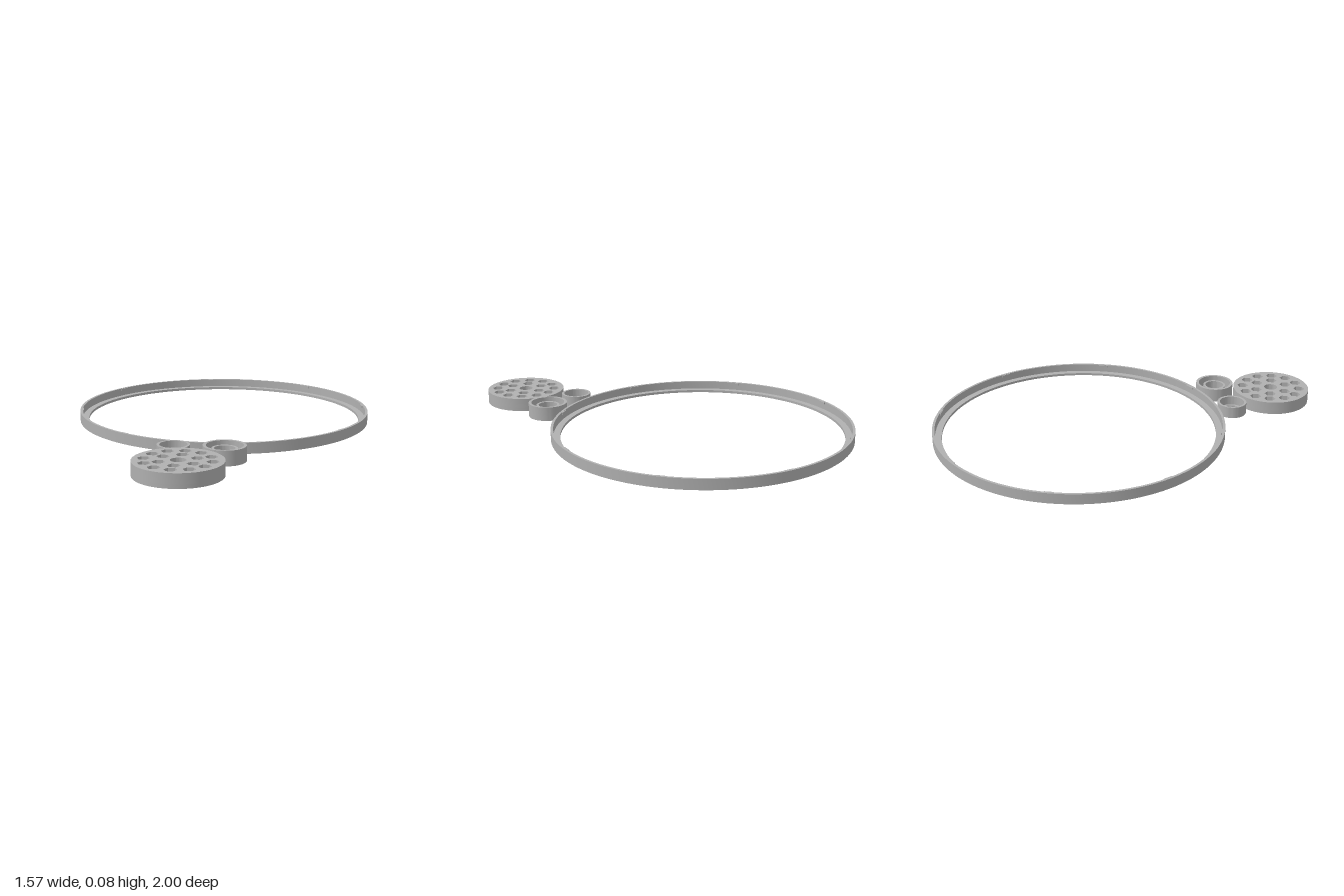
import * as THREE from 'three';
import { toCreasedNormals } from 'three/addons/utils/BufferGeometryUtils.js';

const grey = new THREE.MeshStandardMaterial({ color: 0xb0b0b0 });
grey.name = 'plain grey';

function add(parent, name, geometry, x = 0, y = 0, z = 0) {
  const mesh = new THREE.Mesh(geometry, grey);
  mesh.name = name;
  mesh.position.set(x, y, z);
  parent.add(mesh);
  return mesh;
}

// Closed [radius, height] profile, counter-clockwise, spun about y
function spin(profile, segments) {
  const points = [...profile, profile[0]].map(([r, y]) => new THREE.Vector2(r, y));
  return toCreasedNormals(new THREE.LatheGeometry(points, segments), 0.6);
}

// Flat disc with holes, lying on y = 0
function plate(radius, holes, height) {
  const shape = new THREE.Shape().absarc(0, 0, radius, 0, Math.PI * 2);
  shape.holes.push(...holes);
  const g = new THREE.ExtrudeGeometry(shape, { depth: height, bevelEnabled: false, curveSegments: 48 });
  return toCreasedNormals(g.rotateX(-Math.PI / 2), 0.6);
}

const roundHole = (rx, ry = rx, x = 0, y = 0) =>
  new THREE.Path().absellipse(x, y, rx, ry, 0, Math.PI * 2, true);

function hexHole(x, y, r) {
  const points = [];
  for (let i = 0; i < 6; i++) {
    const a = -i * Math.PI / 3 + Math.PI / 2;
    points.push(new THREE.Vector2(x + r * Math.cos(a), y + r * Math.sin(a)));
  }
  return new THREE.Path(points);
}

export function createModel() {
  const model = new THREE.Group();
  model.name = 'ringAndFittings';

  // Large ring: outer wall with a thin inner ledge
  const hoop = new THREE.Group();
  hoop.name = 'largeRing';
  hoop.position.z = -0.217;
  model.add(hoop);
  add(hoop, 'largeRingBody', spin([
    [0.735, 0], [0.783, 0], [0.783, 0.055], [0.77, 0.055], [0.77, 0.013], [0.735, 0.013],
  ], 128));

  // Small catches spaced around the inside of its rim
  for (let i = 0; i < 8; i++) {
    const a = i * Math.PI / 4;
    const tab = add(hoop, 'rimCatch', new THREE.BoxGeometry(0.05, 0.012, 0.008),
      0.768 * Math.sin(a), 0.048, 0.768 * Math.cos(a));
    tab.rotation.y = a;
  }

  // Disc: solid floor under a layer of hexagonal pockets
  const disc = new THREE.Group();
  disc.name = 'pocketDisc';
  disc.position.set(0.572, 0, 0.787);
  model.add(disc);
  const pockets = [roundHole(0.037)];
  for (const [count, r] of [[12, 0.159], [6, 0.092]]) {
    for (let i = 0; i < count; i++) {
      const a = i / count * Math.PI * 2;
      pockets.push(hexHole(r * Math.cos(a), r * Math.sin(a), 0.031));
    }
  }
  add(disc, 'discFloor', plate(0.212, [roundHole(0.037)], 0.02));
  add(disc, 'discPocketLayer', plate(0.212, pockets, 0.05), 0, 0.02, 0);

  // Tall cup: outer wall, sunken groove and inner tube
  add(model, 'groovedCup', spin([
    [0.05, 0], [0.104, 0], [0.104, 0.075], [0.089, 0.075], [0.089, 0.02],
    [0.063, 0.02], [0.063, 0.06], [0.05, 0.06],
  ], 64), 0.575, 0, 0.465);

  // Small collar: wall around a ledge with two slots
  const collar = new THREE.Group();
  collar.name = 'smallCollar';
  collar.position.set(0.354, 0, 0.58);
  model.add(collar);
  add(collar, 'collarWall', spin([
    [0.067, 0], [0.08, 0], [0.08, 0.063], [0.067, 0.063],
  ], 64));
  add(collar, 'collarLedge', plate(0.0675, [
    roundHole(0.053), roundHole(0.01, 0.005, 0, 0.0605), roundHole(0.01, 0.005, 0, -0.0605),
  ], 0.015));

  return model;
}
